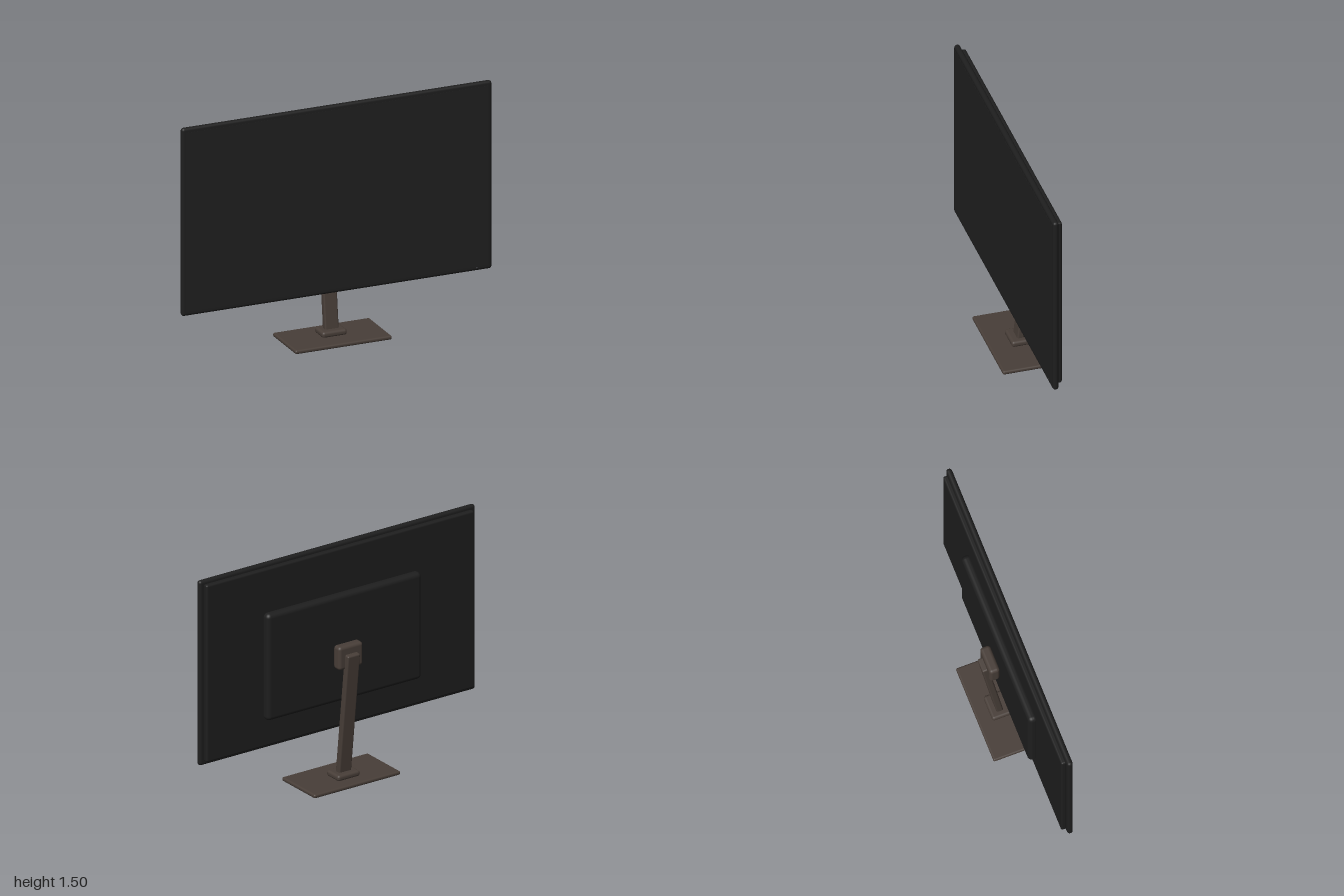
import * as THREE from 'three';
import { RoundedBoxGeometry } from 'three/addons/geometries/RoundedBoxGeometry.js';

const material = (name, color) => {
  const m = new THREE.MeshStandardMaterial({ color });
  m.name = name;
  return m;
};

export function createModel() {
  const model = new THREE.Group();
  model.name = 'monitor';
  const black = material('black plastic', 0x1e1e1e);
  const glass = material('screen black', 0x202020);
  const bronze = material('dark bronze metal', 0x483e38);
  const lamp = material('lamp grey', 0x4a4a50);

  // Rounded block given by its extents on each axis
  const block = (name, mat, [x0, x1], [y0, y1], [z0, z1], radius) => {
    const geometry = new RoundedBoxGeometry(x1 - x0, y1 - y0, z1 - z0, 4, radius);
    const mesh = new THREE.Mesh(geometry, mat);
    mesh.name = name;
    mesh.position.set((x0 + x1) / 2, (y0 + y1) / 2, (z0 + z1) / 2);
    model.add(mesh);
    return mesh;
  };

  // Display: front panel, back shell and electronics housing
  block('frontPanel', black, [-1, 1], [0.31, 1.495], [0.034, 0.07], 0.017);
  block('backShell', black, [-0.97, 0.97], [0.336, 1.472], [0.005, 0.04], 0.012);
  block('rearHousing', black, [-0.56, 0.56], [0.51, 1.195], [-0.041, 0.022], 0.028);

  // Screen face, a thin plate on the front panel
  const screen = new THREE.Mesh(new THREE.BoxGeometry(1.95, 1.13, 0.002), glass);
  screen.name = 'screen';
  screen.position.set(0, 0.9025, 0.07);
  model.add(screen);

  // Small power lamp at the lower corner
  const light = new THREE.Mesh(new THREE.CylinderGeometry(0.004, 0.004, 0.004, 16), lamp);
  light.name = 'powerLamp';
  light.rotation.x = Math.PI / 2;
  light.position.set(0.9, 0.331, 0.07);
  model.add(light);

  // Stand: mount block, leaning arm, collar and base plate
  block('mountBlock', bronze, [-0.088, 0.088], [0.74, 0.89], [-0.105, -0.04], 0.02);
  const foot = new THREE.Vector2(-0.021, 0.03);
  const head = new THREE.Vector2(-0.115, 0.835);
  const length = foot.distanceTo(head);
  const arm = block('arm', bronze, [-0.045, 0.045], [0, length], [-0.021, 0.021], 0.01);
  arm.position.set(0, (foot.y + head.y) / 2, (foot.x + head.x) / 2);
  arm.rotation.x = Math.atan2(head.x - foot.x, head.y - foot.y);
  block('collar', bronze, [-0.08, 0.08], [0.02, 0.058], [-0.085, 0.04], 0.016);
  block('basePlate', bronze, [-0.312, 0.312], [0, 0.025], [-0.168, 0.168], 0.011);

  return model;
}
